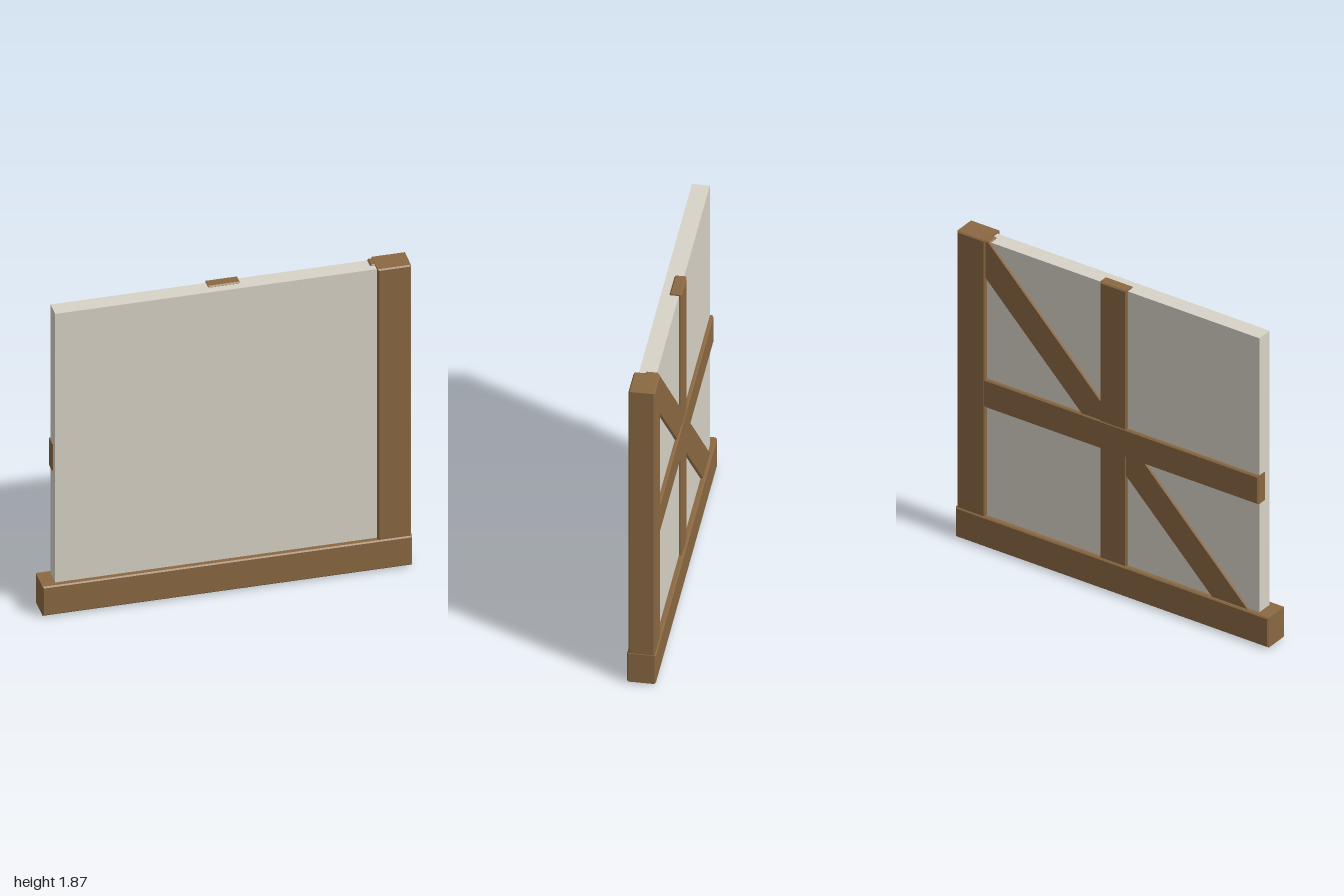
import * as THREE from 'three';

const wood = new THREE.MeshStandardMaterial({ color: 0x8a6842, flatShading: true });
const plaster = new THREE.MeshStandardMaterial({ color: 0xd8d3c7, flatShading: true });

// Timber with chamfered edges: an outline in x/y, running from z0 to z1
function timber(name, outline, z0, z1, chamfer = 0.007) {
  const shape = new THREE.Shape(outline.map(([x, y]) => new THREE.Vector2(x, y)));
  const geometry = new THREE.ExtrudeGeometry(shape, {
    depth: z1 - z0 - 2 * chamfer,
    bevelEnabled: true,
    bevelThickness: chamfer,
    bevelSize: chamfer,
    bevelOffset: -chamfer,
    bevelSegments: 1,
  });
  geometry.translate(0, 0, z0 + chamfer);
  const mesh = new THREE.Mesh(geometry, wood);
  mesh.name = name;
  return mesh;
}

const rect = (x0, x1, y0, y1) => [[x0, y0], [x1, y0], [x1, y1], [x0, y1]];

export function createModel() {
  const group = new THREE.Group();
  group.name = 'timberFrameWall';

  // Main frame: sill beam and corner post
  group.add(timber('sillBeam', rect(-1, 1, 0.01, 0.19), -0.077, 0.077));
  group.add(timber('cornerPost', rect(0.815, 0.995, 0.18, 1.87), -0.07, 0.07));

  // Plaster infill, flush on the front and recessed behind the braces
  const panel = new THREE.Mesh(new THREE.BoxGeometry(1.755, 1.76, 0.095), plaster);
  panel.name = 'plasterPanel';
  panel.position.set(-0.0475, 0.98, -0.0025);
  group.add(panel);

  // Braces showing on the back, each slightly prouder than the one it crosses
  group.add(timber('middleRail', rect(-0.93, 0.93, 0.855, 1.025), -0.069, 0));
  group.add(timber('middleStud', rect(-0.085, 0.085, 0.002, 1.868), -0.065, 0));

  // Diagonal brace with both ends trimmed to the frame corners
  const diagonal = [
    [-0.93, 0], [-0.81, 0], [0.93, 1.745],
    [0.93, 1.867], [0.795, 1.867], [-0.93, 0.125],
  ];
  group.add(timber('diagonalBrace', diagonal, -0.061, 0.01));

  return group;
}
